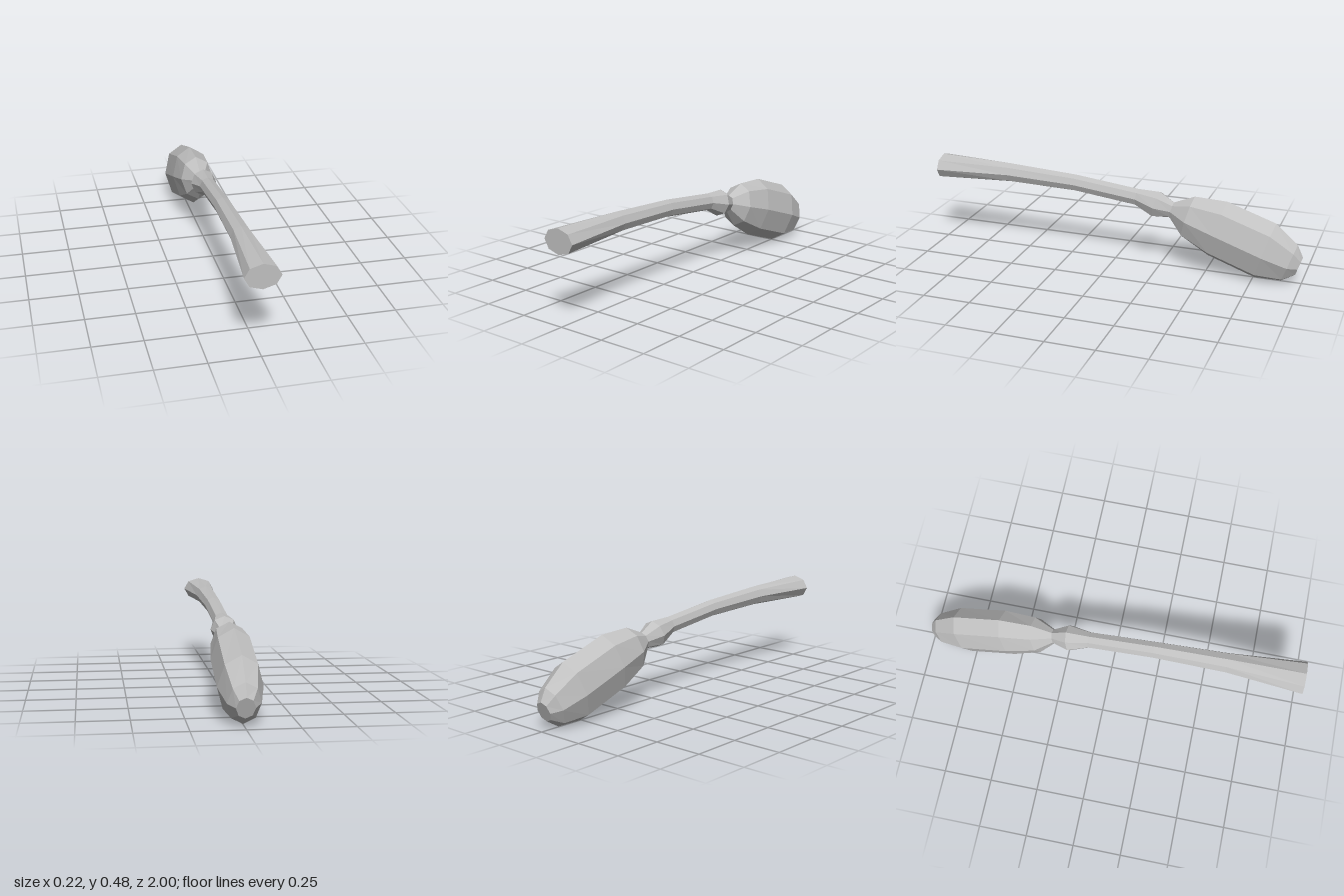
import * as THREE from 'three';

const SIDES = 8;

// Cross-sections from front to back: [topY, topZ, bottomY, bottomZ, halfWidth]
const HANDLE = [
  [0.48, 1, 0.352, 1, 0.088],
  [0.47, 0.6, 0.367, 0.6, 0.053],
  [0.448, 0.22, 0.358, 0.225, 0.044],
  [0.409, -0.125, 0.318, -0.115, 0.043],
  [0.406, -0.243, 0.267, -0.207, 0.069],
  [0.358, -0.32, 0.272, -0.298, 0.036],
];
const HEAD = [
  HANDLE[HANDLE.length - 1],
  [0.403, -0.43, 0.174, -0.367, 0.09],
  [0.396, -0.6, 0.088, -0.507, 0.108],
  [0.31, -0.855, 0, -0.755, 0.108],
  [0.208, -0.97, 0.002, -0.895, 0.079],
  [0.144, -1, 0.043, -0.965, 0.045],
];

// Tilted elliptical octagon with corners at top, bottom and both sides
function ringPoints([ty, tz, by, bz, w]) {
  const points = [];
  for (let i = 0; i < SIDES; i++) {
    const a = (i / SIDES) * Math.PI * 2;
    const t = Math.cos(a) / 2;
    points.push([
      Math.sin(a) * w,
      (ty + by) / 2 + t * (ty - by),
      (tz + bz) / 2 + t * (tz - bz),
    ]);
  }
  return points;
}

// Faceted skin over the sections, optionally closed at either end
function loft(sections, capFront, capBack) {
  const rings = sections.map(ringPoints);
  const positions = [];
  const tri = (a, b, c) => positions.push(...a, ...b, ...c);
  for (let k = 0; k < rings.length - 1; k++) {
    for (let i = 0; i < SIDES; i++) {
      const j = (i + 1) % SIDES;
      tri(rings[k][i], rings[k][j], rings[k + 1][j]);
      tri(rings[k][i], rings[k + 1][j], rings[k + 1][i]);
    }
  }
  const last = rings[rings.length - 1];
  for (let i = 1; i < SIDES - 1; i++) {
    if (capFront) tri(rings[0][0], rings[0][i + 1], rings[0][i]);
    if (capBack) tri(last[0], last[i], last[i + 1]);
  }
  const geometry = new THREE.BufferGeometry();
  geometry.setAttribute('position', new THREE.Float32BufferAttribute(positions, 3));
  geometry.computeVertexNormals();
  return geometry;
}

export function createModel() {
  const group = new THREE.Group();
  const grey = new THREE.MeshStandardMaterial({ color: 0xc0c0c0 });
  grey.name = 'light grey';

  // Flared handle with its collar, ending at the narrow neck
  const handle = new THREE.Mesh(loft(HANDLE, true, false), grey);
  handle.name = 'handle';

  // Bulbous drooping head with a small flat tip
  const head = new THREE.Mesh(loft(HEAD, false, true), grey);
  head.name = 'head';

  group.add(handle, head);
  return group;
}
